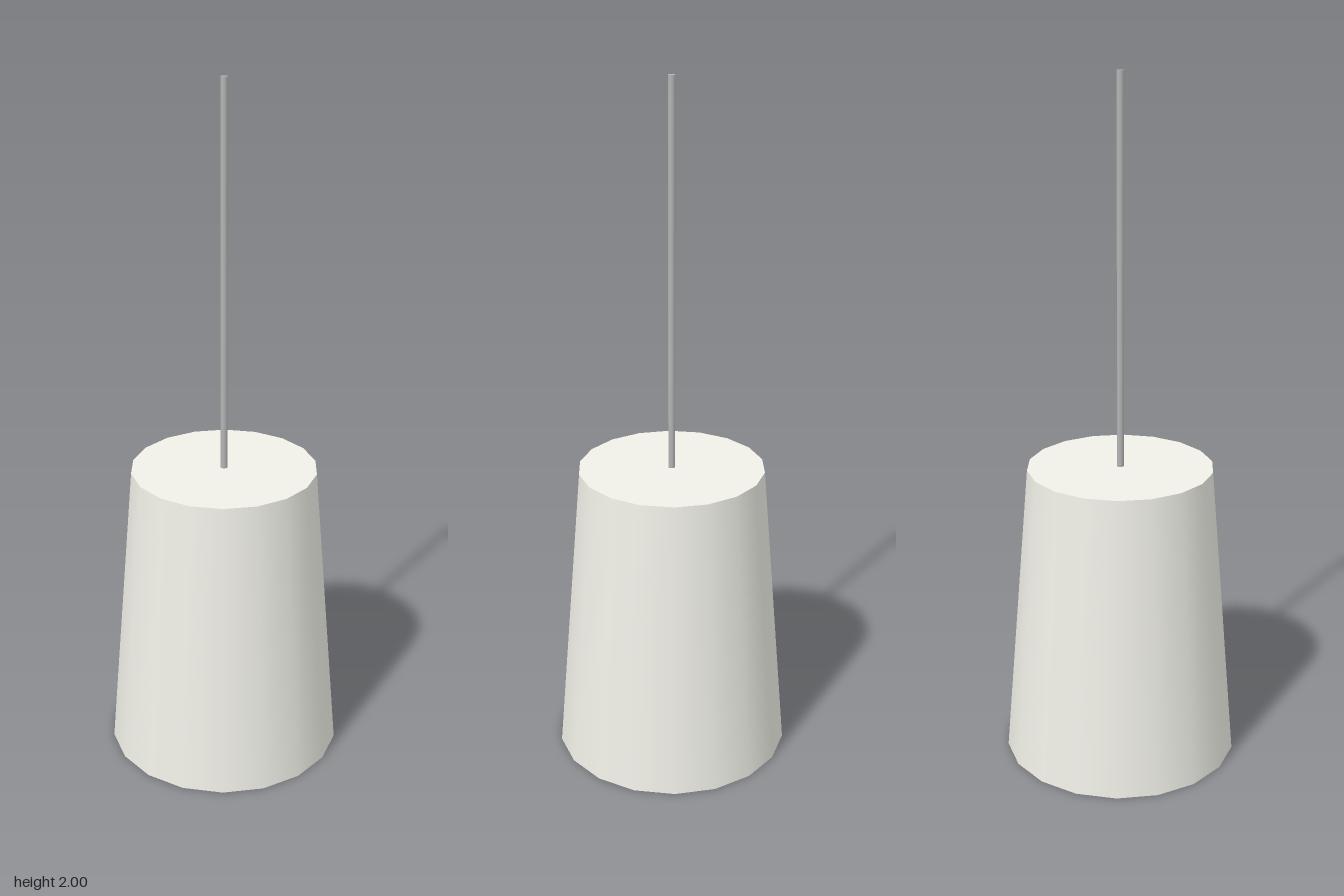
import * as THREE from 'three';

const SIDES = 18, TOP_Y = 0.887, TOP_R = 0.27, RIM_R = 0.345, HEIGHT = 2;

export function createModel() {
  const model = new THREE.Group();
  model.name = 'pendantLamp';

  const shadeMaterial = new THREE.MeshStandardMaterial({ color: 0xf0f0e8, side: THREE.DoubleSide });
  const cordMaterial = new THREE.MeshStandardMaterial({ color: 0xb4b4b4 });

  const add = (name, geometry, material, y) => {
    const mesh = new THREE.Mesh(geometry, material);
    mesh.name = name;
    mesh.position.y = y;
    model.add(mesh);
    return mesh;
  };

  // Thin tapered shade, open at the bottom, with a corner on the x axis
  add('shade',
    new THREE.CylinderGeometry(TOP_R, RIM_R, TOP_Y, SIDES, 1, true, Math.PI / 2),
    shadeMaterial, TOP_Y / 2);

  // Flat lid closing the top of the shade
  add('shadeTop', new THREE.CircleGeometry(TOP_R, SIDES).rotateX(-Math.PI / 2), shadeMaterial, TOP_Y);

  // Hanging cord
  const cordLength = HEIGHT - TOP_Y;
  add('cord', new THREE.CylinderGeometry(0.01, 0.01, cordLength, 12), cordMaterial, TOP_Y + cordLength / 2);

  return model;
}
